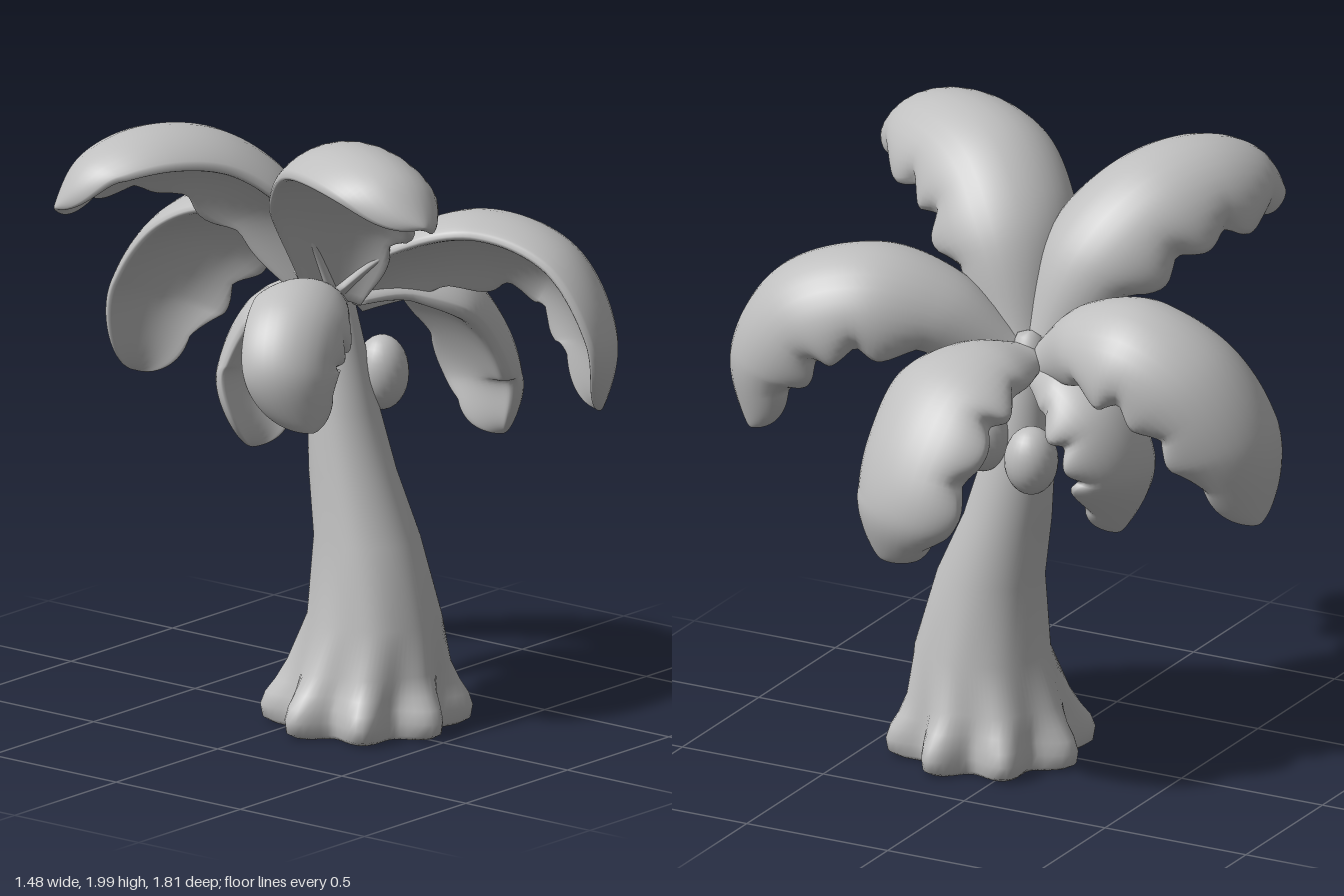
import * as THREE from 'three';

const V = (x, y, z) => new THREE.Vector3(x, y, z);

// Closed skin over a list of rings, each running counter-clockwise about the path
function loft(rings, startCentre, endCentre) {
  const n = rings[0].length, pos = [], idx = [];
  rings.forEach(r => r.forEach(p => pos.push(p.x, p.y, p.z)));
  for (let i = 0; i < rings.length - 1; i++) {
    for (let j = 0; j < n; j++) {
      const k = (j + 1) % n;
      const a = i * n + j, b = i * n + k, c = b + n, d = a + n;
      idx.push(a, b, c, a, c, d);
    }
  }
  const s = rings.length * n, last = (rings.length - 1) * n;
  pos.push(...startCentre.toArray(), ...endCentre.toArray());
  for (let j = 0; j < n; j++) {
    const k = (j + 1) % n;
    idx.push(s, k, j, s + 1, last + j, last + k);
  }
  const g = new THREE.BufferGeometry();
  g.setAttribute('position', new THREE.Float32BufferAttribute(pos, 3));
  g.setIndex(idx);
  g.computeVertexNormals();
  return g;
}

// Leaning trunk with knobbly root lobes at the foot
function trunkGeometry() {
  // y, centre x, centre z, radius x, radius z, lobe size
  const rows = [
    [0.025, 0.05, 0.15, 0.2, 0.2, 0.02],
    [0.005, 0.05, 0.15, 0.27, 0.265, 0.03],
    [0.02, 0.05, 0.15, 0.29, 0.285, 0.038],
    [0.06, 0.05, 0.15, 0.295, 0.29, 0.04],
    [0.1, 0.052, 0.15, 0.285, 0.28, 0.036],
    [0.14, 0.056, 0.15, 0.265, 0.265, 0.024],
    [0.2, 0.06, 0.152, 0.24, 0.25, 0.01],
    [0.35, 0.065, 0.17, 0.205, 0.215, 0],
    [0.6, 0.065, 0.14, 0.16, 0.172, 0],
    [0.8, 0.068, 0.08, 0.135, 0.14, 0],
    [1.0, 0.07, 0.04, 0.11, 0.115, 0],
    [1.2, 0.07, 0.02, 0.08, 0.085, 0],
    [1.35, 0.07, 0.0, 0.062, 0.065, 0],
    [1.42, 0.07, 0.0, 0.04, 0.04, 0],
  ];
  const n = 96;
  const rings = rows.map(([y, cx, cz, rx, rz, lobe]) =>
    Array.from({ length: n }, (_, j) => {
      const a = j / n * Math.PI * 2;
      const bump = lobe * Math.cos(8 * (a - 0.65));
      return V(cx + (rx + bump) * Math.sin(a), y, cz + (rz + bump) * Math.cos(a));
    }));
  return loft(rings, V(0.05, 0.035, 0.15), V(0.07, 1.43, 0));
}

// Puffy frond along its ridge: one smooth edge, one scalloped edge tilted downwards.
// scallopSide is +1 or -1, the side of the ridge that carries the scallops.
function frondGeometry(points, halfWidth, drop, scallopSide, tilt) {
  const curve = new THREE.CatmullRomCurve3(points.map(p => V(...p)), false, 'centripetal');
  const first = curve.getPoint(0), end = curve.getPoint(1);
  const dir = end.clone().sub(first).setY(0).normalize();
  const across = V(0, 1, 0).cross(dir);
  const steps = 60, n = 36, fold = 1.1, rings = [];
  for (let i = 0; i <= steps; i++) {
    const t = 0.999 * (1 - Math.pow(1 - i / steps, 1.6));
    const p = curve.getPointAt(t), T = curve.getTangentAt(t);
    const S = across.clone().addScaledVector(T, -across.dot(T)).normalize()
      .applyAxisAngle(T, -scallopSide * tilt);
    const N = T.clone().cross(S);
    const grow = 0.35 + 0.65 * THREE.MathUtils.smoothstep(t, -0.1, 0.38);
    const tip = t > 0.5 ? Math.sqrt(1 - ((t - 0.5) / 0.5) ** 3) : 1;
    const w = halfWidth * grow * tip;
    const notch = 0.22 * (1 - Math.abs(Math.sin(Math.PI * 4.5 * t)));
    rings.push(Array.from({ length: n }, (_, j) => {
      const a = j / n * Math.PI * 2, u = Math.cos(a), v = Math.sin(a);
      const edge = 1 - notch * Math.max(0, u * scallopSide) ** 3;
      const side = w * Math.sin(u * fold) / Math.sin(fold) * edge;
      const down = w * drop * (1 - Math.cos(u * fold)) / (1 - Math.cos(fold)) * edge;
      const puff = w * v * (v > 0 ? 0.12 : 0.45);
      return p.clone().addScaledVector(S, side).addScaledVector(N, puff - down);
    }));
  }
  return loft(rings, first, end);
}

export function createModel() {
  const group = new THREE.Group();
  const grey = new THREE.MeshStandardMaterial({ color: 0xbfbfbf });
  grey.name = 'light grey';
  const add = (name, geometry) => {
    const mesh = new THREE.Mesh(geometry, grey);
    mesh.name = name;
    group.add(mesh);
    return mesh;
  };

  add('trunk', trunkGeometry());

  // Fronds: name, half width, side drop, scalloped side, tilt, ridge points
  const fronds = [
    ['backFrond', 0.215, 0.6, -1, 0.6, [[0.09, 1.37, -0.03], [0.2, 1.52, -0.22], [0.26, 1.56, -0.45],
      [0.25, 1.46, -0.66], [0.2, 1.23, -0.81], [0.12, 0.95, -0.84]]],
    ['backRightUpperFrond', 0.23, 0.6, -1, 0.4, [[0.07, 1.37, -0.02], [-0.02, 1.69, -0.14],
      [-0.2, 1.87, -0.27], [-0.42, 1.91, -0.38], [-0.61, 1.85, -0.45], [-0.73, 1.72, -0.47]]],
    ['frontRightUpperFrond', 0.235, 0.6, 1, 0.4, [[0.07, 1.37, 0.02], [-0.02, 1.72, 0.13],
      [-0.15, 1.9, 0.29], [-0.27, 1.95, 0.48], [-0.37, 1.92, 0.66], [-0.43, 1.81, 0.78]]],
    ['frontLeftFrond', 0.215, 0.6, 1, 0.65, [[0.09, 1.37, 0.03], [0.21, 1.54, 0.22], [0.34, 1.61, 0.45],
      [0.41, 1.53, 0.68], [0.41, 1.3, 0.83], [0.37, 1.06, 0.83]]],
    ['leftFrond', 0.24, 0.4, 1, 0.03, [[0.09, 1.38, 0], [0.28, 1.42, 0.05], [0.48, 1.37, 0.11],
      [0.63, 1.21, 0.14], [0.7, 1.0, 0.17], [0.64, 0.82, 0.22]]],
    ['rightLowerFrond', 0.17, 0.6, 1, 0.5, [[0.06, 1.37, 0.02], [-0.1, 1.42, 0.1], [-0.25, 1.38, 0.17],
      [-0.35, 1.23, 0.22], [-0.32, 1.03, 0.24]]],
    ['backLowerFrond', 0.185, 0.6, -1, 0.35, [[0.09, 1.35, -0.03], [0.14, 1.35, -0.18], [0.15, 1.25, -0.33],
      [0.12, 1.05, -0.4], [0.05, 0.81, -0.31]]],
  ];
  for (const [name, width, drop, side, tilt, points] of fronds) {
    add(name, frondGeometry(points, width, drop, side, tilt));
  }

  // Nuts hanging beneath the crown
  const nuts = [[0.175, 1.1, 0.11, 0.085, 0.12], [0.19, 1.05, -0.07, 0.085, 0.11]];
  nuts.forEach(([x, y, z, r, h]) => {
    const nut = add('nut', new THREE.SphereGeometry(1, 24, 16));
    nut.scale.set(r, h, r);
    nut.position.set(x, y, z);
  });

  return group;
}
